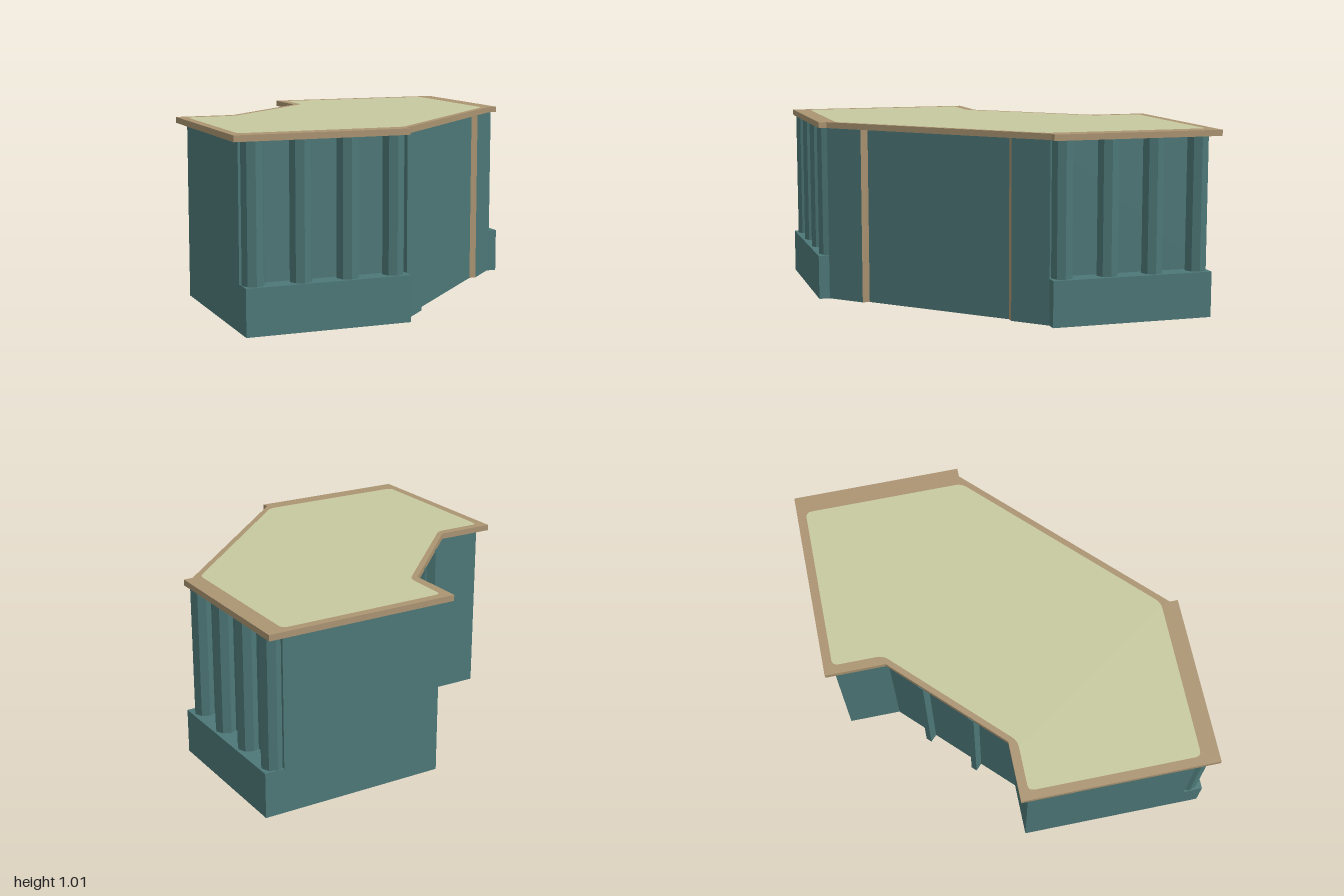
import * as THREE from 'three';

const teal = new THREE.MeshStandardMaterial({ name: 'teal panel', color: 0x4d7777, side: THREE.DoubleSide, flatShading: true });
const wood = new THREE.MeshStandardMaterial({ name: 'light wood', color: 0xab9472, side: THREE.DoubleSide, flatShading: true });
const olive = new THREE.MeshStandardMaterial({ name: 'pale olive', color: 0xc6c99f, flatShading: true });

const SLAB_Y = 0.98, SLAB_H = 0.033, LEDGE_Y = 0.25;
const swap = (pts) => pts.map(([x, z]) => [z, x]); // mirror across the x = z diagonal

// Upright thin wall following a plan path of [x, z] points
function wall(pts, y0, y1) {
  const pos = [], idx = [];
  for (let i = 0; i < pts.length - 1; i++) {
    const [a, b] = [pts[i], pts[i + 1]], n = i * 4;
    pos.push(a[0], y0, a[1], b[0], y0, b[1], b[0], y1, b[1], a[0], y1, a[1]);
    idx.push(n, n + 1, n + 2, n, n + 2, n + 3);
  }
  const g = new THREE.BufferGeometry();
  g.setAttribute('position', new THREE.Float32BufferAttribute(pos, 3));
  g.setIndex(idx);
  g.computeVertexNormals();
  return g;
}

// Closed plan outline with optional rounded corners (shape y is -z)
function trace(path, pts, r = 0) {
  const v = pts.map(([x, z]) => new THREE.Vector2(x, -z));
  v.forEach((p, i) => {
    const prev = v[(i + v.length - 1) % v.length], next = v[(i + 1) % v.length];
    const a = p.clone().add(prev.clone().sub(p).setLength(r));
    const b = p.clone().add(next.clone().sub(p).setLength(r));
    if (i === 0) path.moveTo(a.x, a.y); else path.lineTo(a.x, a.y);
    if (r > 0) path.quadraticCurveTo(p.x, p.y, b.x, b.y);
  });
  path.closePath();
  return path;
}

// Plan shape turned flat, rising from y
function slab(shape, y, depth) {
  const g = new THREE.ExtrudeGeometry(shape, { depth, bevelEnabled: false, curveSegments: 4 });
  return g.rotateX(-Math.PI / 2).translate(0, y, 0);
}

export function createModel() {
  const model = new THREE.Group();
  model.name = 'cornerCounter';
  const add = (name, geometry, material, parent = model) => {
    const m = new THREE.Mesh(geometry, material);
    m.name = name;
    parent.add(m);
    return m;
  };

  // Back walls, open underneath
  add('backWall', wall([[-0.95, 0.89], [-0.95, -0.05], [-0.65, -0.05], [-0.05, -0.65],
    [-0.05, -0.95], [0.89, -0.95]], 0, SLAB_Y), teal);

  // Two ribs on the diagonal back wall
  for (const t of [0.3, 0.69]) {
    const rib = add('backRib', new THREE.BoxGeometry(0.036, 0.99, 0.05), teal);
    rib.position.set(-0.05 - 0.6 * t - 0.018, 0.495, -0.65 + 0.6 * t - 0.018);
    rib.rotation.y = Math.PI / 4;
  }

  // Diagonal front with a recessed middle panel
  add('frontPanel', wall([[0.11, 0.74], [0.74, 0.11]], 0, SLAB_Y), teal);

  // Each half: front return, wood step, column bay and plinth
  for (const side of ['front', 'right']) {
    const m = side === 'front' ? (p) => p : swap;
    const half = new THREE.Group();
    half.name = side + 'Wing';
    model.add(half);
    add('frontReturn', wall(m([[-0.05, 0.89], [-0.05, 0.94], [0.11, 0.78]]), 0, SLAB_Y), teal, half);
    add('woodStep', wall(m([[0.11, 0.78], [0.11, 0.74]]), 0, SLAB_Y), wood, half);
    add('bayPanel', wall(m([[-0.95, 0.89], [-0.05, 0.89]]), LEDGE_Y, SLAB_Y), teal, half);
    add('plinth', wall(m([[-0.95, 0.89], [-0.95, 1], [-0.05, 1], [-0.05, 0.94]]), 0, LEDGE_Y), teal, half);
    for (const [name, y, z0] of [['plinthLedge', LEDGE_Y, 0.89], ['plinthFoot', 0, 0.94]]) {
      const outline = m([[-0.95, z0], [-0.05, z0], [-0.05, 1], [-0.95, 1]]);
      const flat = new THREE.ShapeGeometry(trace(new THREE.Shape(), outline));
      add(name, flat.rotateX(-Math.PI / 2).translate(0, y, 0), teal, half);
    }
    // Octagonal columns standing on the ledge
    for (let i = 0; i < 4; i++) {
      const [[x, z]] = m([[-0.888 + i * 0.255, 0.925]]);
      const h = SLAB_Y - LEDGE_Y;
      add('column', new THREE.CylinderGeometry(0.06, 0.06, h, 8), teal, half)
        .position.set(x, LEDGE_Y + h / 2, z);
    }
  }

  // Counter top: wood rim around an olive inlay that runs right through
  const rimOutline = [[-1, 0.987], [-0.055, 0.985], [-0.055, 0.94], [0.94, -0.055], [0.99, -0.055],
    [0.99, -1], [-0.1, -1], [-0.1, -0.665], [-0.665, -0.1], [-1, -0.1]];
  const inlayOutline = [[-0.95, 0.89], [-0.05, 0.89], [0.89, -0.05], [0.89, -0.95],
    [-0.05, -0.95], [-0.05, -0.67], [-0.67, -0.05], [-0.95, -0.05]];
  const rim = trace(new THREE.Shape(), rimOutline);
  rim.holes.push(trace(new THREE.Path(), inlayOutline, 0.035));
  add('counterRim', slab(rim, SLAB_Y, SLAB_H), wood);
  add('counterInlay', slab(trace(new THREE.Shape(), inlayOutline, 0.035), SLAB_Y, SLAB_H), olive);

  return model;
}
